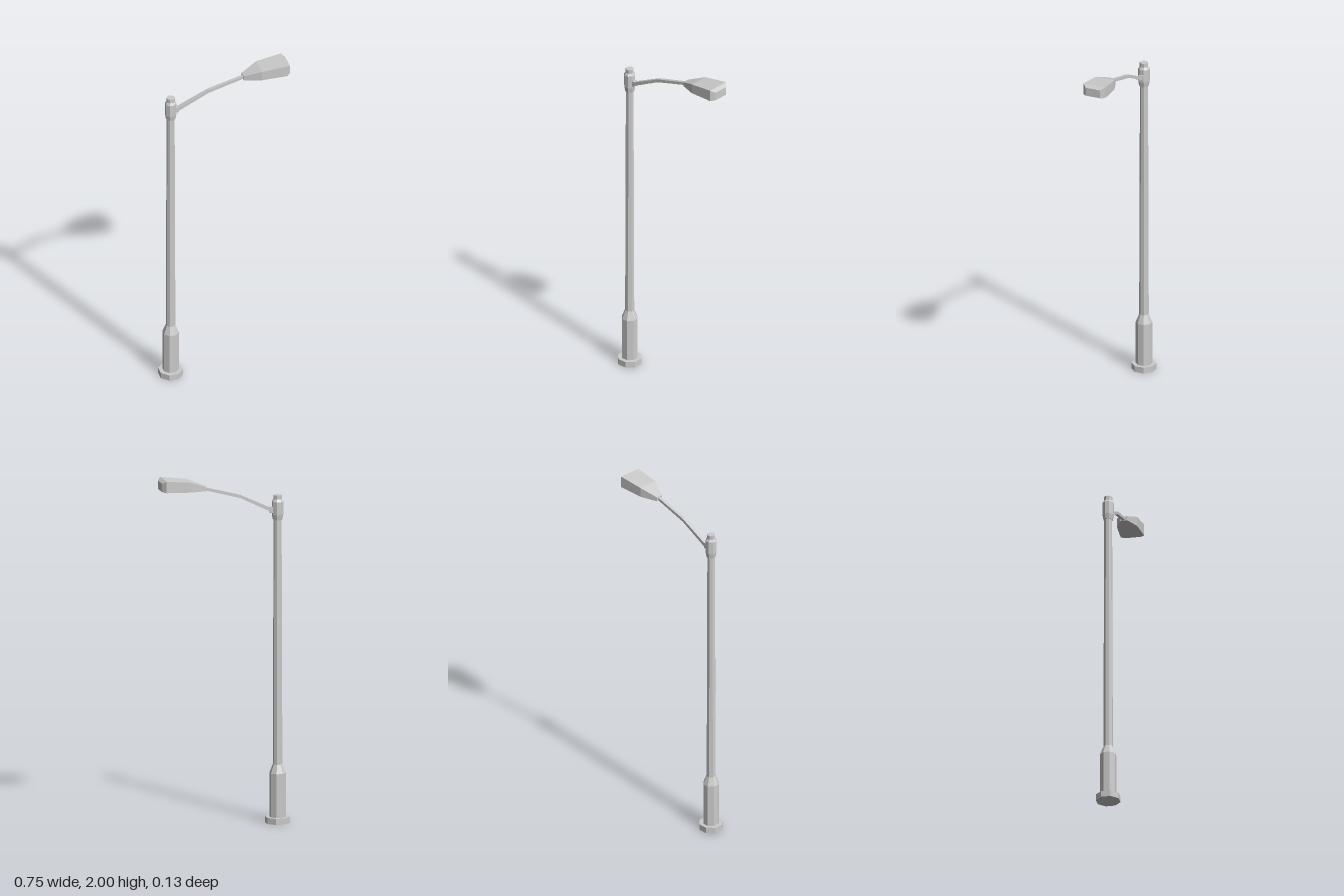
import * as THREE from 'three';

const material = new THREE.MeshStandardMaterial({ color: 0xcccccc, flatShading: true });
const POLE_X = -0.31;

// Eight-sided turned part; profile rows are [distance to flat side, y]
function octagonal(name, profile) {
  const points = profile.map(([r, y]) => new THREE.Vector2(r / Math.cos(Math.PI / 8), y));
  const geometry = new THREE.LatheGeometry(points, 8, Math.PI / 8);
  const mesh = new THREE.Mesh(geometry, material);
  mesh.name = name;
  mesh.position.x = POLE_X;
  return mesh;
}

// Closed box-like loft along x; sections are [x, bottom y, top y, half width]
function loft(name, sections) {
  const positions = [];
  const index = [];
  for (const [x, low, high, w] of sections) {
    positions.push(x, low, w, x, low, -w, x, high, -w, x, high, w);
  }
  const last = (sections.length - 1) * 4;
  for (let s = 0; s < last; s += 4) {
    for (let i = 0; i < 4; i++) {
      const a = s + i;
      const b = s + (i + 1) % 4;
      index.push(a, b, b + 4, a, b + 4, a + 4);
    }
  }
  index.push(0, 2, 1, 0, 3, 2);
  index.push(last, last + 1, last + 2, last, last + 2, last + 3);
  const indexed = new THREE.BufferGeometry();
  indexed.setAttribute('position', new THREE.Float32BufferAttribute(positions, 3));
  indexed.setIndex(index);
  const geometry = indexed.toNonIndexed();
  geometry.computeVertexNormals();
  const mesh = new THREE.Mesh(geometry, material);
  mesh.name = name;
  return mesh;
}

export function createModel() {
  const group = new THREE.Group();
  group.name = 'streetLamp';

  // Foot, wide lower sleeve, slim pole and collar
  group.add(
    octagonal('basePlate', [[0, 0], [0.065, 0], [0.065, 0.035], [0, 0.035]]),
    octagonal('lowerSleeve', [[0.043, 0.035], [0.043, 0.285], [0.025, 0.335]]),
    octagonal('pole', [[0.025, 0.33], [0.021, 1.74]]),
    octagonal('collar', [
      [0, 1.732], [0.025, 1.732], [0.03, 1.762], [0.03, 1.836],
      [0.022, 1.85], [0.022, 1.873], [0, 1.873],
    ]),
  );

  // Bracket joining the arm to the collar
  group.add(loft('armBracket', [[-0.285, 1.773, 1.806, 0.013], [-0.266, 1.773, 1.806, 0.013]]));

  // Bent, tapering arm
  group.add(loft('arm', [
    [-0.275, 1.777, 1.799, 0.012],
    [-0.175, 1.827, 1.847, 0.011],
    [-0.09, 1.869, 1.887, 0.01],
    [0.12, 1.927, 1.943, 0.009],
  ]));

  // Lamp head, widening towards a chamfered end
  group.add(loft('lampHead', [
    [0.11, 1.922, 1.947, 0.02],
    [0.206, 1.927, 1.983, 0.057],
    [0.352, 1.934, 2.0, 0.067],
    [0.372, 1.937, 1.985, 0.045],
  ]));

  return group;
}
